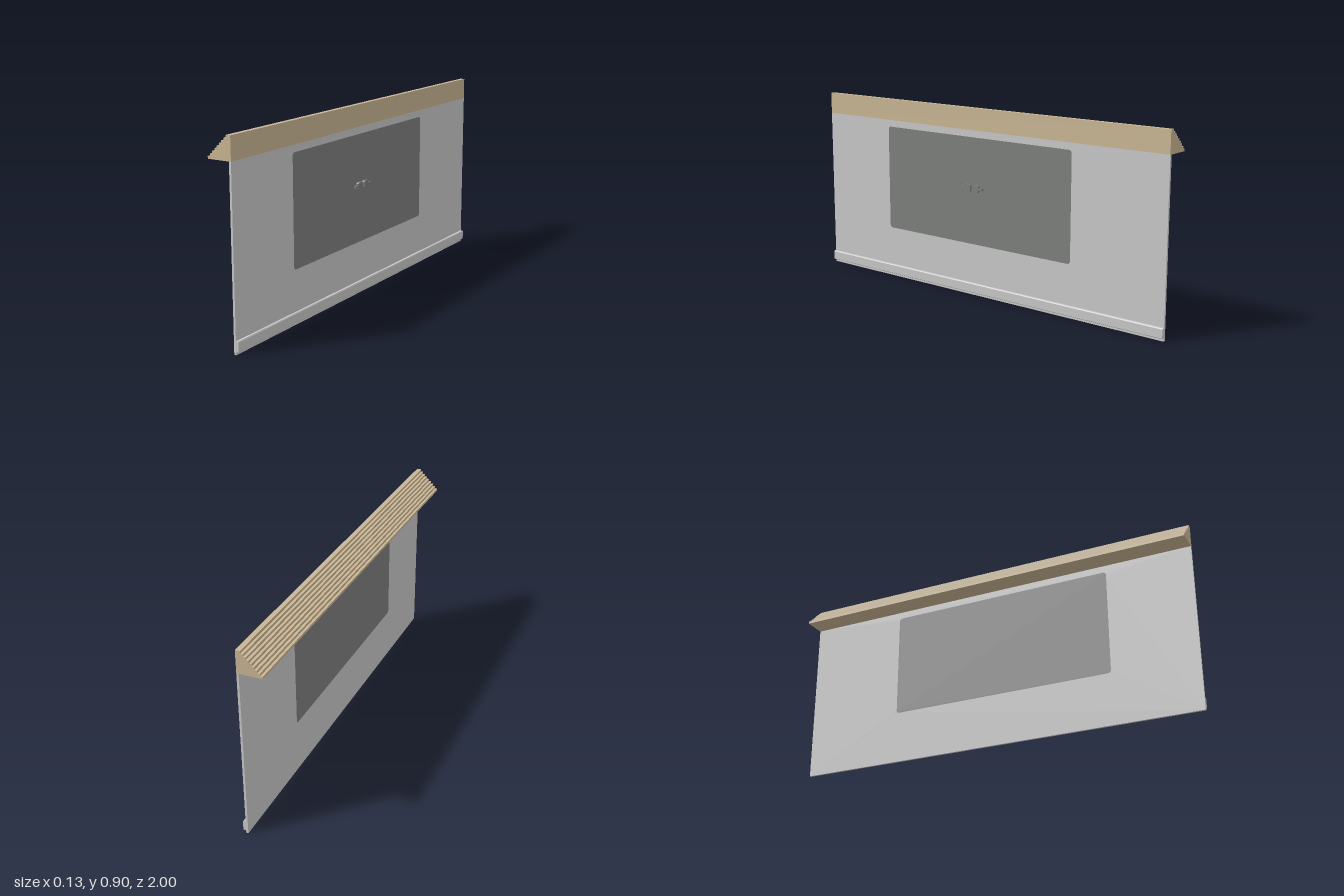
import * as THREE from 'three';

const mat = (name, color) => {
  const m = new THREE.MeshStandardMaterial({ color });
  m.name = name;
  return m;
};

// Closed polygon from [x, y] pairs
const polygon = (pts) => new THREE.Shape(pts.map(([x, y]) => new THREE.Vector2(x, y)));

// Rectangle with rounded corners, used for the panel and its opening
function roundedRect(x0, y0, x1, y1, r, Kind = THREE.Shape) {
  const s = new Kind();
  s.absarc(x1 - r, y0 + r, r, -Math.PI / 2, 0);
  s.absarc(x1 - r, y1 - r, r, 0, Math.PI / 2);
  s.absarc(x0 + r, y1 - r, r, Math.PI / 2, Math.PI);
  s.absarc(x0 + r, y0 + r, r, Math.PI, Math.PI * 1.5);
  s.closePath();
  return s;
}

export function createModel() {
  const model = new THREE.Group();
  const wallMat = mat('light grey', 0xc8c8c8);
  const tanMat = mat('tan', 0xc8b593);
  const panelMat = mat('dark grey', 0x7d7f7d);
  const LENGTH = 2;

  const add = (name, geometry, material) => {
    const mesh = new THREE.Mesh(geometry, material);
    mesh.name = name;
    model.add(mesh);
  };

  // Profile in x/y swept along the whole length in z
  const sweep = (pts) => new THREE.ExtrudeGeometry(polygon(pts), { depth: LENGTH, bevelEnabled: false })
    .translate(0, 0, -LENGTH / 2);

  // Outline in (-z, y) given thickness from x0 to x1
  const slab = (shape, x0, x1) => new THREE.ExtrudeGeometry(shape, { depth: x1 - x0, bevelEnabled: false, curveSegments: 4 })
    .rotateY(Math.PI / 2).translate(x0, 0, 0);

  // Wall sheet with a rounded opening, filled by a flush panel
  const opening = [-0.59, 0.25, 0.515, 0.763, 0.015];
  const wall = polygon([[-1, 0], [1, 0], [1, 0.797], [-1, 0.797]]);
  wall.holes.push(roundedRect(...opening, THREE.Path));
  add('wall', slab(wall, 0.04, 0.05), wallMat);
  add('panel', slab(roundedRect(...opening), 0.04, 0.05), panelMat);

  // Stepped cornice: flat front face, stairs descending towards -x
  const steps = 8, run = 0.0116;
  const cornice = [[-0.065, 0.796], [0.05, 0.796], [0.05, 0.9]];
  for (let i = 0; i <= steps; i++) {
    const x = 0.028 - i * run, y = 0.9 - i * run;
    cornice.push([x, y]);
    if (i < steps) cornice.push([x, y - run]);
  }
  add('steppedCornice', sweep(cornice), tanMat);

  // Bottom rail with softened outer edges
  add('bottomRail', sweep([
    [0.05, 0.013], [0.06, 0.013], [0.063, 0.016], [0.063, 0.056], [0.06, 0.06], [0.05, 0.06],
  ]), wallMat);

  // Pair of mirrored latches, each a chamfered block with a thin outer tab
  const c = 0.006;
  for (const side of [-1, 1]) {
    const block = polygon([
      [-0.018 + c, -0.017], [0.018 - c, -0.017], [0.018, -0.017 + c], [0.018, 0.017 - c],
      [0.018 - c, 0.017], [-0.018 + c, 0.017], [-0.018, 0.017 - c], [-0.018, -0.017 + c],
    ]);
    const z = 0.046 + side * 0.025;
    add('latchBlock', slab(block, 0.05, 0.063).translate(0, 0.522, z), panelMat);
    add('latchTab', new THREE.BoxGeometry(0.013, 0.01, 0.022)
      .translate(0.0565, 0.522, z + side * 0.029), panelMat);
  }

  return model;
}
